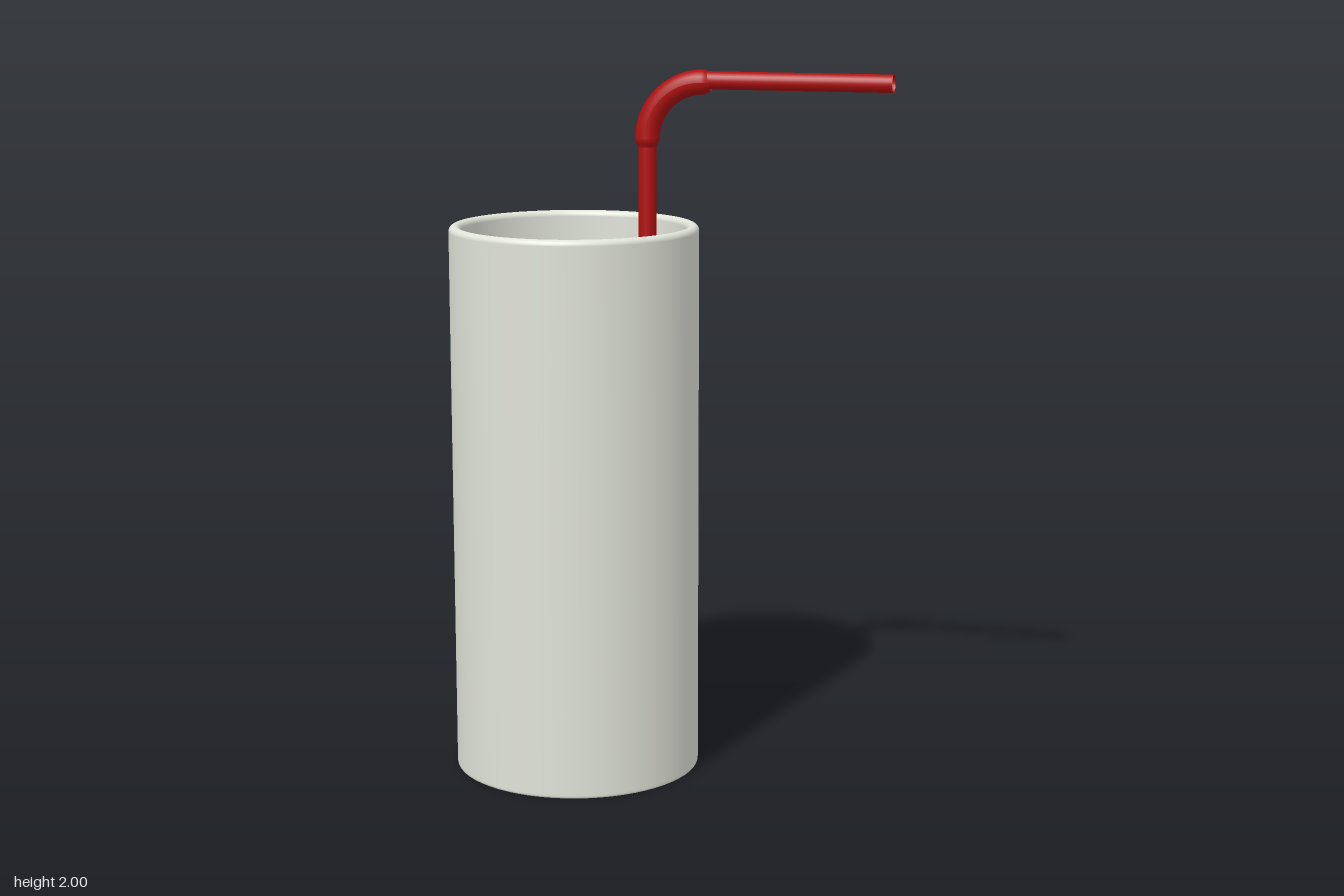
import * as THREE from 'three';

const CUP_X = -0.275, CUP_R = 0.35, INNER_R = 0.317, CUP_H = 1.565;
const STRAW_X = -0.061, STRAW_R = 0.0245, ELBOW_R = 0.034, BEND = 0.16;
const BEND_Y = 1.806, TOP_Y = BEND_Y + BEND;

const v2 = (x, y) => new THREE.Vector2(x, y);

function createModel() {
  const model = new THREE.Group();
  const add = (name, geometry, color, side = THREE.FrontSide) => {
    const mesh = new THREE.Mesh(geometry, new THREE.MeshStandardMaterial({ color, side }));
    mesh.name = name;
    model.add(mesh);
    return mesh;
  };

  // Cup: one closed profile with a shallow foot recess and a rounded lip
  const profile = [v2(0, 0.008), v2(0.322, 0.008), v2(0.323, 0.008), v2(0.327, 0.001),
    v2(0.33, 0), v2(0.345, 0), v2(0.349, 0.002), v2(CUP_R, 0.006), v2(CUP_R, 0.012)];
  const lip = (CUP_R - INNER_R) / 2;
  for (let i = 0; i <= 10; i++) {
    const a = Math.PI * i / 10;
    profile.push(v2(INNER_R + lip + lip * Math.cos(a), CUP_H - lip + lip * Math.sin(a)));
  }
  profile.push(v2(INNER_R, 0.036), v2(INNER_R - 0.002, 0.034), v2(0, 0.034));
  add('cup', new THREE.LatheGeometry(profile, 64), 0xe0e3d8).position.x = CUP_X;

  // Drink filling the lower part of the cup
  const level = 1.15;
  const drink = add('drink', new THREE.CylinderGeometry(INNER_R, INNER_R, level - 0.036, 64), 0xdcdb80);
  drink.position.set(CUP_X, (level + 0.036) / 2, 0);

  // Straw: upright and mouthpiece are open tubes
  const tube = (name, length) => add(name,
    new THREE.CylinderGeometry(STRAW_R, STRAW_R, length, 24, 1, true), 0xb01010, THREE.DoubleSide);
  const bottom = 0.06;
  tube('strawUpright', BEND_Y - bottom).position.set(STRAW_X, (BEND_Y + bottom) / 2, 0);
  const start = STRAW_X + BEND, end = 0.623;
  const mouthpiece = tube('strawMouthpiece', end - start);
  mouthpiece.rotation.z = Math.PI / 2;
  mouthpiece.position.set((start + end) / 2, TOP_Y + 0.005, 0);

  // Straw elbow: a quarter bend, wider than the straw, tapering at both ends
  const path = new THREE.CurvePath();
  const corner = (x, y) => new THREE.Vector3(x, y, 0);
  const k = BEND * 0.5523;
  path.add(new THREE.LineCurve3(corner(STRAW_X, BEND_Y - 0.02), corner(STRAW_X, BEND_Y)));
  path.add(new THREE.CubicBezierCurve3(corner(STRAW_X, BEND_Y), corner(STRAW_X, BEND_Y + k),
    corner(start - k, TOP_Y), corner(start, TOP_Y)));
  path.add(new THREE.LineCurve3(corner(start, TOP_Y), corner(start + 0.02, TOP_Y)));
  const rings = 32, sides = 24;
  const elbow = new THREE.TubeGeometry(path, rings, ELBOW_R, sides);
  const pos = elbow.attributes.position, p = new THREE.Vector3();
  for (let i = 0; i <= rings; i++) {
    const centre = path.getPointAt(i / rings);
    const taper = Math.min(1, 0.72 + 0.14 * Math.min(i, rings - i));
    for (let j = 0; j <= sides; j++) {
      const n = i * (sides + 1) + j;
      p.fromBufferAttribute(pos, n).sub(centre).multiplyScalar(taper).add(centre);
      pos.setXYZ(n, p.x, p.y, p.z);
    }
  }
  elbow.computeVertexNormals();
  add('strawElbow', elbow, 0xb01010, THREE.DoubleSide);

  return model;
}

export { createModel };
